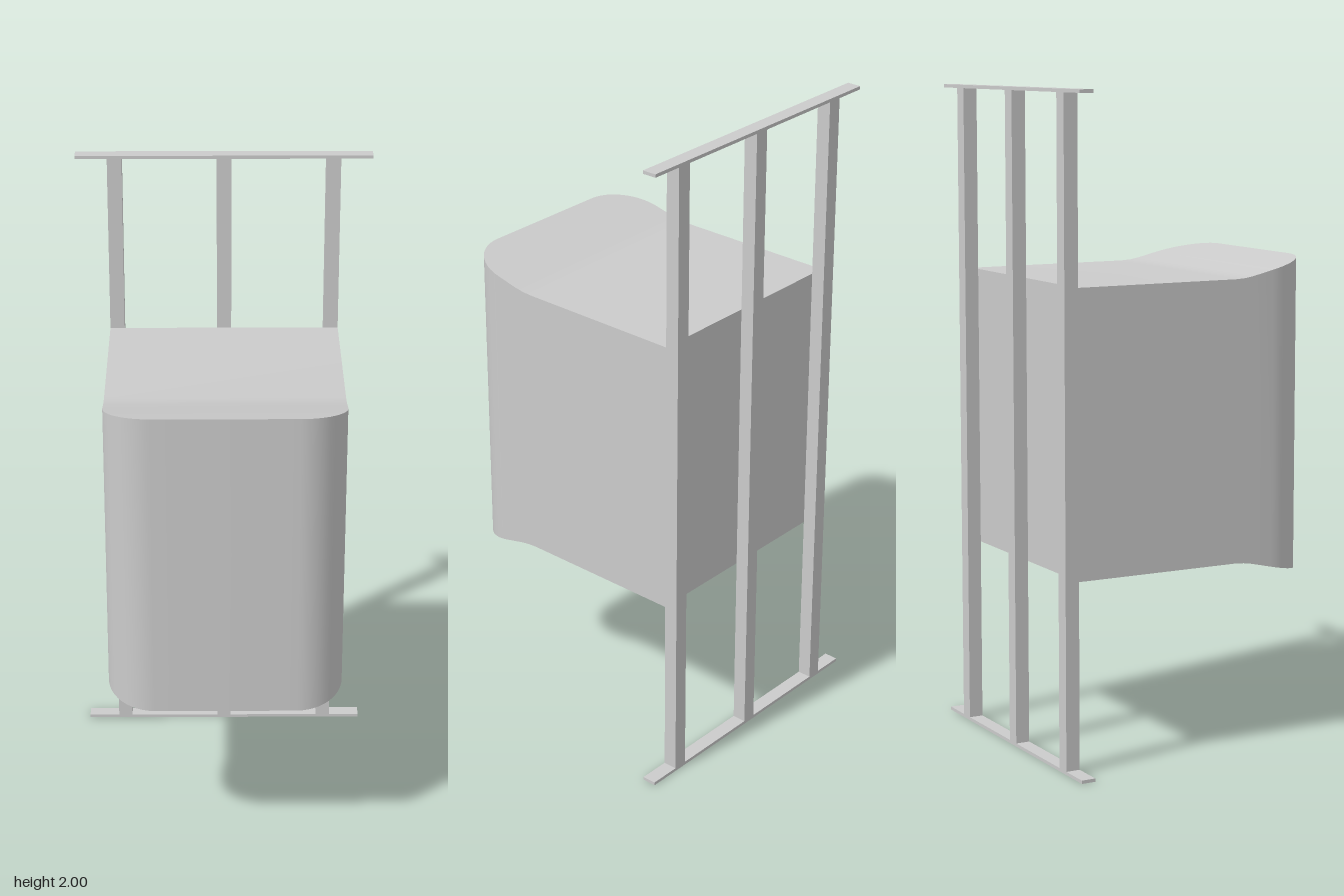
import * as THREE from 'three';
import { toCreasedNormals } from 'three/addons/utils/BufferGeometryUtils.js';

const grey = new THREE.MeshStandardMaterial({ color: 0xcccccc });
const HALF = 0.357, BACK = -0.38, FRONT = 0.423, RADIUS = 0.145, MID = 1.005;

// Half height of the body at depth z: level at the back, flaring towards the front
const flare = [[BACK, 0.43], [0.15, 0.43], [0.18, 0.432], [0.21, 0.437], [0.278, 0.453], [0.34, 0.467], [FRONT, 0.485]];
function halfHeight(z) {
  for (let i = 1; i < flare.length; i++) {
    const [z0, h0] = flare[i - 1], [z1, h1] = flare[i];
    if (z <= z1) return h0 + (h1 - h0) * (z - z0) / (z1 - z0);
  }
  return flare[flare.length - 1][1];
}

// Body built from rectangular sections along z, with rounded front corners in plan
function bodyGeometry() {
  const sections = flare.slice(0, 4).map(([z]) => [z, HALF]);
  const steps = 12;
  for (let i = 0; i <= steps; i++) {
    const a = (i / steps) * Math.PI / 2;
    sections.push([FRONT - RADIUS + RADIUS * Math.sin(a), HALF - RADIUS + RADIUS * Math.cos(a)]);
  }
  const positions = [], index = [];
  for (const [z, w] of sections) {
    const h = halfHeight(z);
    positions.push(-w, MID - h, z, w, MID - h, z, w, MID + h, z, -w, MID + h, z);
  }
  const quad = (a, b, c, d) => index.push(a, b, c, a, c, d);
  for (let s = 0; s < sections.length - 1; s++) {
    for (let k = 0; k < 4; k++) {
      const n = (k + 1) % 4, o = s * 4;
      quad(o + k, o + n, o + 4 + n, o + 4 + k);
    }
  }
  const e = (sections.length - 1) * 4;
  quad(3, 2, 1, 0);
  quad(e, e + 1, e + 2, e + 3);
  const geometry = new THREE.BufferGeometry();
  geometry.setAttribute('position', new THREE.Float32BufferAttribute(positions, 3));
  geometry.setIndex(index);
  return toCreasedNormals(geometry, 0.5);
}

export function createModel() {
  const group = new THREE.Group();
  const add = (name, geometry, x = 0, y = 0, z = 0) => {
    const mesh = new THREE.Mesh(geometry, grey);
    mesh.name = name;
    mesh.position.set(x, y, z);
    group.add(mesh);
  };

  add('body', bodyGeometry());

  // Three upright posts behind the body
  const depth = 0.044, frameZ = BACK - depth / 2;
  const post = new THREE.BoxGeometry(0.045, 1.98, depth);
  const offset = HALF - 0.0225;
  add('rightPost', post, -offset, 1, frameZ);
  add('middlePost', post, 0, 1, frameZ);
  add('leftPost', post, offset, 1, frameZ);

  // Thin rails across the post ends
  const rail = new THREE.BoxGeometry(0.91, 0.01, depth);
  add('bottomRail', rail, 0, 0.005, frameZ);
  add('topRail', rail, 0, 1.995, frameZ);
  return group;
}
